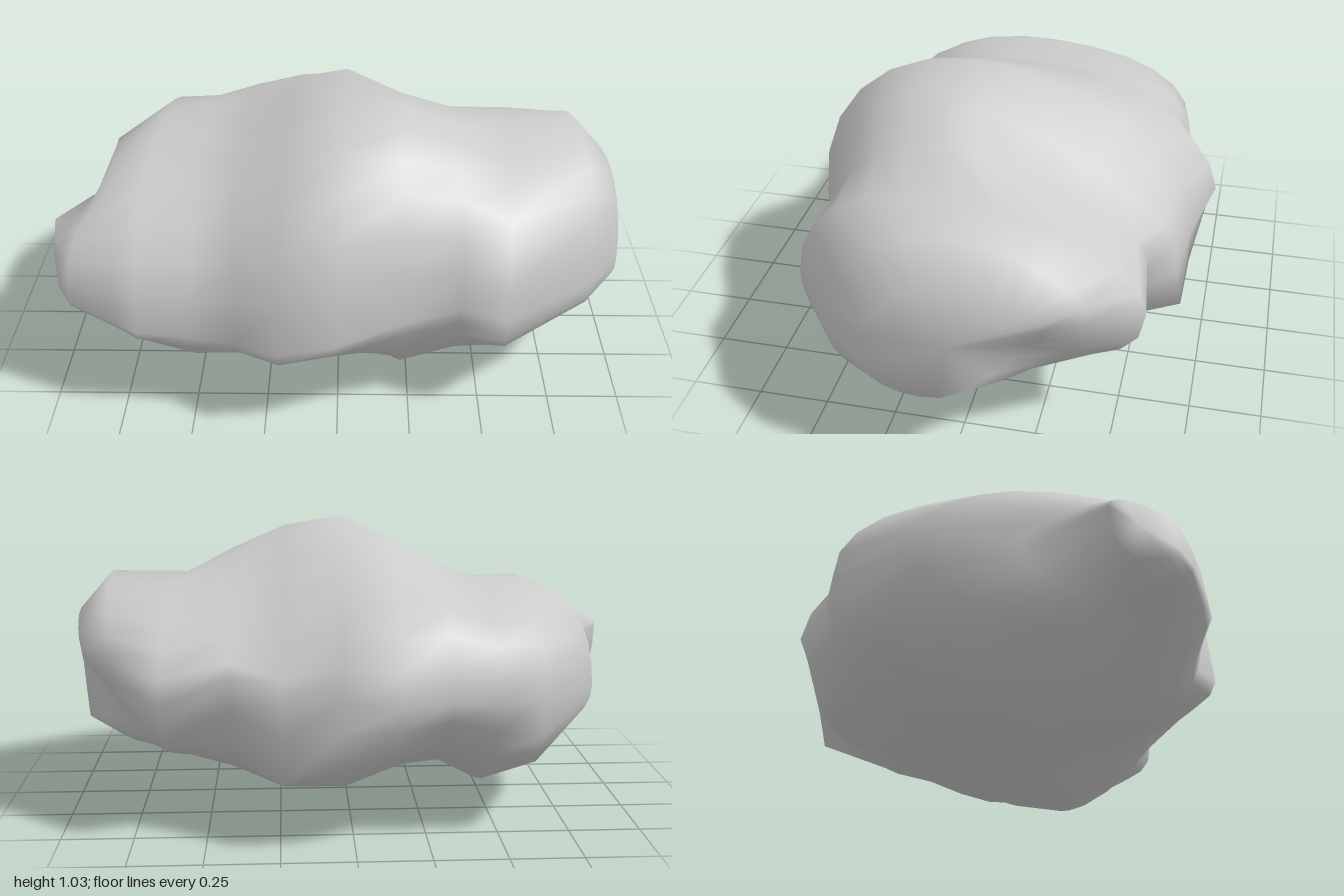
import * as THREE from 'three';

// Cross-sections along x. Each row:
// [x at front, x at back, top y, top z, bottom y, bottom z, front z, front y, back z, back y]
const SECTIONS = [
  [-0.96, -1.0, 0.6, 0.3, 0.4, 0.34, 0.48, 0.45, 0.26, 0.57],
  [-0.92, -0.79, 0.67, 0.26, 0.34, 0.28, 0.53, 0.41, 0.0, 0.55],
  [-0.76, -0.85, 0.74, 0.12, 0.26, 0.2, 0.6, 0.38, -0.34, 0.48],
  [-0.68, -0.63, 0.81, 0.0, 0.17, 0.12, 0.63, 0.36, -0.6, 0.5],
  [-0.5, -0.48, 0.8, 0.05, 0.02, 0.13, 0.63, 0.34, -0.63, 0.48],
  [-0.34, -0.32, 0.86, 0.08, 0.11, 0.1, 0.65, 0.33, -0.64, 0.5],
  [-0.2, -0.14, 0.94, 0.1, 0.13, 0.1, 0.74, 0.35, -0.75, 0.51],
  [0.0, 0.04, 1.03, 0.12, 0.145, 0.12, 0.73, 0.38, -0.67, 0.52],
  [0.22, 0.24, 0.99, 0.17, 0.0, 0.25, 0.64, 0.41, -0.63, 0.5],
  [0.42, 0.42, 0.91, 0.14, 0.06, 0.24, 0.57, 0.42, -0.56, 0.57],
  [0.57, 0.65, 0.82, 0.07, 0.21, 0.17, 0.63, 0.41, -0.59, 0.49],
  [0.88, 0.84, 0.84, 0.02, 0.23, -0.03, 0.42, 0.43, -0.43, 0.54],
  [0.99, 0.96, 0.71, 0.0, 0.29, 0.02, 0.28, 0.44, -0.31, 0.58],
];

// Roundness of each section's quarters: 1 is straight, 2 round, above 2 boxy
const TOP_BACK = [2, 2, 2.2, 2.3, 2.6, 2.6, 1.9, 1.7, 1.4, 1.35, 1.9, 1.9, 2];
const BOTTOM_FRONT = [2, 1.8, 1.7, 1.7, 1.5, 1.7, 1.9, 1.7, 1.4, 1.5, 2.9, 2.3, 2];
const BOTTOM_BACK = [2, 1.8, 1.9, 3, 1.65, 1.6, 1.8, 2.1, 1.65, 1.8, 2.6, 2.4, 2];
const TOP_FRONT = 2.2;
const AROUND = 24;

// One point of a section: four superellipse quarters joined at its extremes
function sectionPoint(i, t) {
  const [xF, xB, yT, zT, yB, zB, zF, yF, zK, yK] = SECTIONS[i];
  const c = Math.cos(t), s = Math.sin(t);
  const upper = s >= 0, front = c >= 0;
  const topN = front ? TOP_FRONT : TOP_BACK[i];
  const bottomN = front ? BOTTOM_FRONT[i] : BOTTOM_BACK[i];
  const n = upper ? topN : bottomN;
  const midZ = upper ? zT : zB, endZ = front ? zF : zK;
  const midY = front ? yF : yK, endY = upper ? yT : yB;
  const z = midZ + (endZ - midZ) * Math.abs(c) ** (2 / n);
  const y = midY + (endY - midY) * Math.abs(s) ** (2 / n);
  const x = xB + (xF - xB) * (z - zK) / (zF - zK);
  return new THREE.Vector3(x, y, z);
}

// Local features that pull nearby points along a vector
const FEATURES = [
  // knob low on the back
  { at: new THREE.Vector3(0.15, 0.21, -0.5), pull: new THREE.Vector3(0, -0.06, -0.27), radius: 0.19 },
  // undercut low on the left end
  { at: new THREE.Vector3(0.92, 0.36, -0.27), pull: new THREE.Vector3(-0.15, 0.02, 0.03), radius: 0.2 },
];
function shapeFeatures(p) {
  const start = p.clone();
  for (const { at, pull, radius } of FEATURES) {
    p.addScaledVector(pull, Math.exp(-start.distanceToSquared(at) / radius ** 2));
  }
  return p;
}

function rockGeometry() {
  const positions = [], index = [];
  const rings = SECTIONS.map((_, i) => Array.from({ length: AROUND },
    (__, j) => shapeFeatures(sectionPoint(i, (j / AROUND) * Math.PI * 2))));
  rings.flat().forEach((p) => positions.push(p.x, p.y, p.z));

  // Skin between neighbouring rings
  for (let i = 0; i < rings.length - 1; i++) {
    for (let j = 0; j < AROUND; j++) {
      const k = (j + 1) % AROUND;
      const a = i * AROUND + j, b = a + AROUND, d = i * AROUND + k, c = d + AROUND;
      index.push(a, b, c, a, c, d);
    }
  }

  // Close both ends with a slightly raised centre point
  const cap = (ring, first, bulge, flip) => {
    const mid = ring.reduce((m, p) => m.add(p), new THREE.Vector3()).divideScalar(AROUND);
    const pole = positions.length / 3;
    positions.push(mid.x + bulge, mid.y, mid.z);
    for (let j = 0; j < AROUND; j++) {
      const a = first + j, b = first + (j + 1) % AROUND;
      index.push(pole, flip ? b : a, flip ? a : b);
    }
  };
  cap(rings[0], 0, -0.015, false);
  cap(rings[rings.length - 1], (rings.length - 1) * AROUND, 0.025, true);

  const geometry = new THREE.BufferGeometry();
  geometry.setAttribute('position', new THREE.Float32BufferAttribute(positions, 3));
  geometry.setIndex(index);
  geometry.computeVertexNormals();
  return geometry;
}

export function createModel() {
  const group = new THREE.Group();
  group.name = 'rock';
  const body = new THREE.Mesh(rockGeometry(), new THREE.MeshStandardMaterial({ color: 0xcccccc }));
  body.name = 'rockBody';
  group.add(body);
  return group;
}
